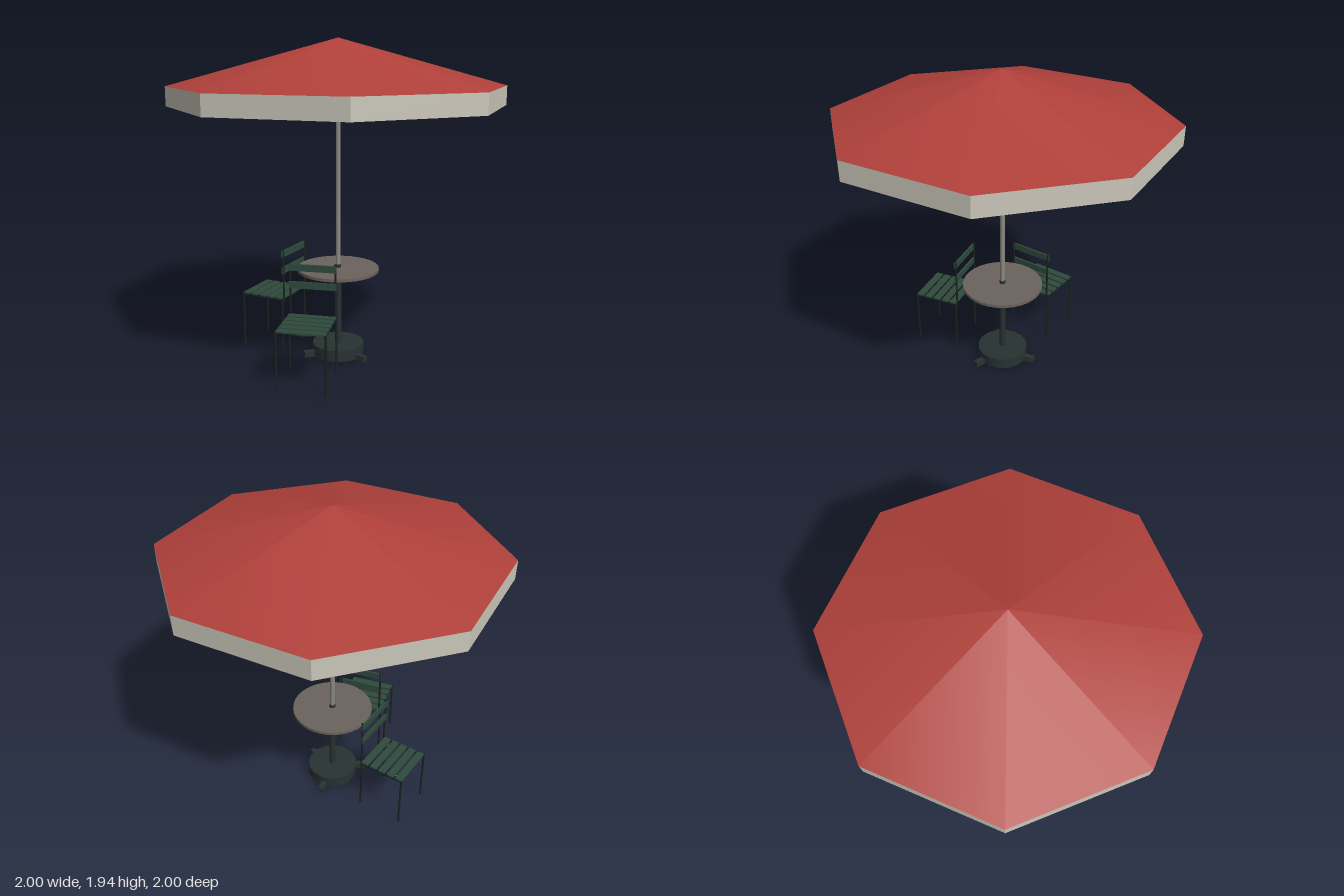
import * as THREE from 'three';

const mat = (name, color) => {
  const m = new THREE.MeshStandardMaterial({ color });
  m.name = name;
  return m;
};

export function createModel() {
  const red = mat('canopy red', 0xb0403a);
  const cream = mat('valance cream', 0xcbc7ba);
  const grey = mat('pole grey', 0x8e8b85);
  const stone = mat('tabletop brown grey', 0x6b625d);
  const iron = mat('base dark iron', 0x273231);
  const green = mat('slat green', 0x2f4a3d);
  const black = mat('frame black green', 0x1a221f);
  red.side = cream.side = THREE.DoubleSide;

  const model = new THREE.Group();
  model.name = 'patioSet';

  const add = (parent, name, geometry, material, x = 0, y = 0, z = 0) => {
    const mesh = new THREE.Mesh(geometry, material);
    mesh.name = name;
    mesh.position.set(x, y, z);
    parent.add(mesh);
    return mesh;
  };
  // Upright cylinder between two heights
  const post = (parent, name, material, r, y0, y1, sides, x = 0, z = 0) =>
    add(parent, name, new THREE.CylinderGeometry(r, r, y1 - y0, sides), material, x, (y0 + y1) / 2, z);
  const faceted = (geometry) => {
    const g = geometry.toNonIndexed();
    g.computeVertexNormals();
    return g;
  };

  // Parasol: eight-sided canopy, hanging valance and pole
  const parasol = new THREE.Group();
  parasol.name = 'parasol';
  model.add(parasol);
  add(parasol, 'canopy', new THREE.ConeGeometry(1, 0.275, 8, 1, true), red, 0, 1.7975, 0);
  add(parasol, 'valance', faceted(new THREE.CylinderGeometry(1, 1, 0.115, 8, 1, true)), cream, 0, 1.6025, 0);
  post(parasol, 'pole', grey, 0.0145, 0.54, 1.92, 12);

  // Round table on a column
  const table = new THREE.Group();
  table.name = 'table';
  model.add(table);
  post(table, 'tabletop', stone, 0.25, 0.542, 0.56, 32);
  post(table, 'collar', iron, 0.018, 0.56, 0.58, 12);
  post(table, 'column', iron, 0.02, 0.07, 0.542, 12);

  // Heavy drum with three radiating feet
  post(table, 'baseDrum', iron, 0.16, 0.005, 0.075, 16);
  for (let i = 0; i < 3; i++) {
    const arm = new THREE.Group();
    arm.name = 'foot';
    arm.rotation.y = (i * Math.PI * 2) / 3;
    add(arm, 'footBar', new THREE.BoxGeometry(0.034, 0.036, 0.22), iron, 0, 0.018, 0.11);
    table.add(arm);
  }

  // Slatted bistro chair, seat facing local +z
  const makeChair = (x, z, yawDegrees) => {
    const chair = new THREE.Group();
    chair.name = 'chair';
    chair.position.set(x, 0, z);
    chair.rotation.y = THREE.MathUtils.degToRad(yawDegrees);
    model.add(chair);
    for (const s of [-1, 1]) {
      post(chair, 'frontLeg', black, 0.0065, 0, 0.35, 8, s * 0.142, 0.141);
      post(chair, 'backLeg', black, 0.0065, 0, 0.35, 8, s * 0.142, -0.141);
      post(chair, 'backPost', black, 0.006, 0.335, 0.665, 8, s * 0.134, -0.148);
      add(chair, 'sideRail', new THREE.BoxGeometry(0.011, 0.012, 0.29), black, s * 0.136, 0.343, 0);
    }
    // Ring brace under the seat
    const ring = add(chair, 'seatRing', new THREE.TorusGeometry(0.137, 0.006, 6, 28), black, 0, 0.338, 0);
    ring.rotation.x = Math.PI / 2;
    // Seat and back slats run across the width
    for (let i = -2; i <= 2; i++) {
      add(chair, 'seatSlat', new THREE.BoxGeometry(0.284, 0.01, 0.045), green, 0, 0.35, i * 0.06);
    }
    for (const y of [0.637, 0.532]) {
      add(chair, 'backSlat', new THREE.BoxGeometry(0.284, 0.04, 0.012), green, 0, y, -0.143);
    }
  };
  makeChair(-0.433, 0.149, -60);
  makeChair(-0.128, -0.438, -164);

  return model;
}
